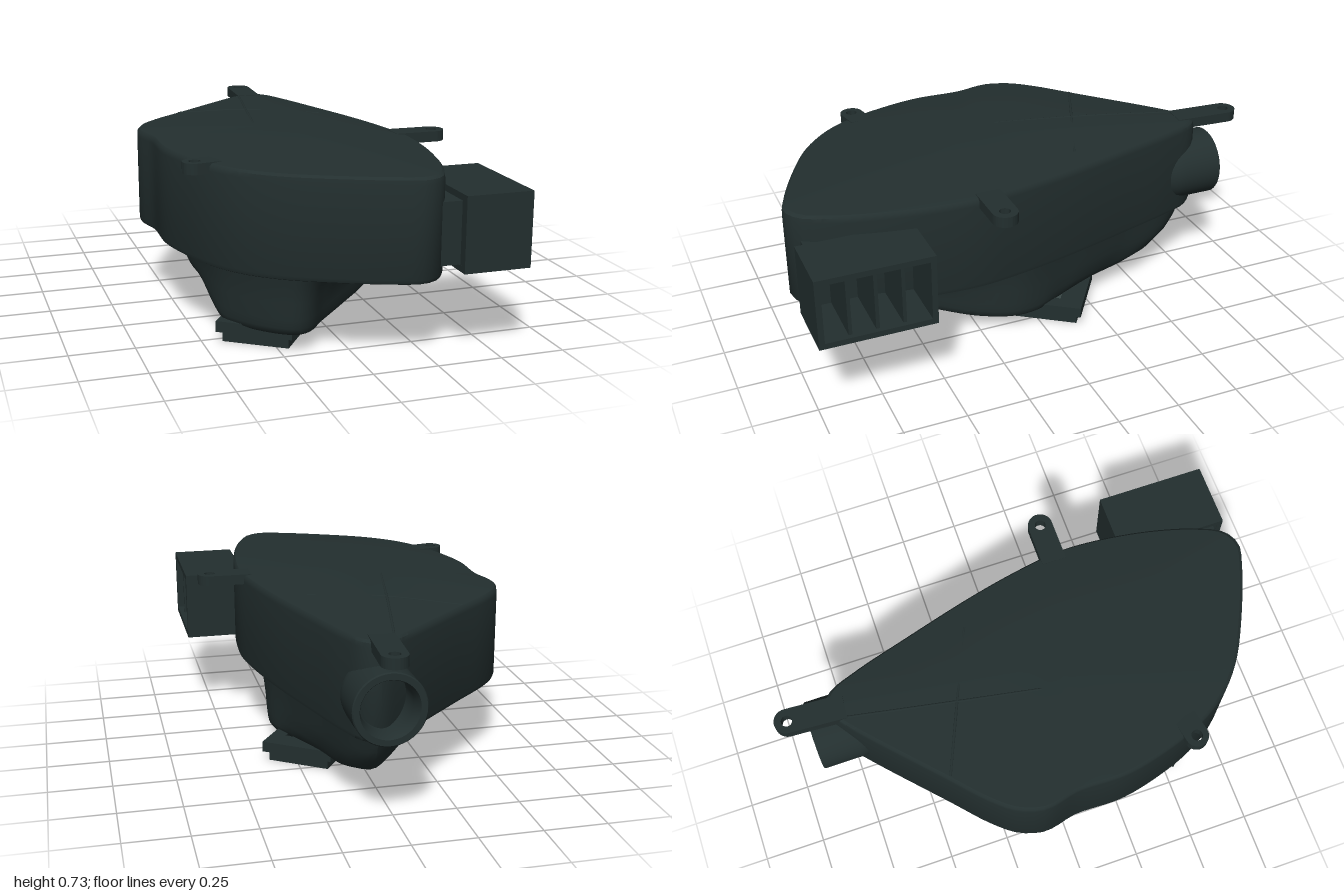
import * as THREE from 'three';
import { toCreasedNormals } from 'three/addons/utils/BufferGeometryUtils.js';

const plastic = new THREE.MeshStandardMaterial({ color: 0x232f2f, side: THREE.DoubleSide });
plastic.name = 'dark plastic';
const filterGrey = new THREE.MeshStandardMaterial({ color: 0x3a4847 });
filterGrey.name = 'filter grey';

// Smooth closed outline from a few [x, z] points
function outline(points, n = 120) {
  const curve = new THREE.CatmullRomCurve3(points.map(([x, z]) => new THREE.Vector3(x, 0, z)), true, 'centripetal');
  return curve.getSpacedPoints(n).slice(0, n).map(p => [p.x, p.z]);
}

// Skin through rings of [x, y, z] points, listed from bottom to top
function loft(rings) {
  const n = rings[0].length, pos = rings.flat(2), index = [];
  for (let r = 0; r < rings.length - 1; r++) {
    for (let i = 0; i < n; i++) {
      const a = r * n + i, b = r * n + (i + 1) % n;
      index.push(a, b, b + n, a, b + n, a + n);
    }
  }
  const geo = new THREE.BufferGeometry();
  geo.setAttribute('position', new THREE.Float32BufferAttribute(pos, 3));
  geo.setIndex(index);
  return toCreasedNormals(geo, 0.7);
}

// Plate drawn in x, z and spanning y0 to y1
function plate(shape, y0, y1) {
  return new THREE.ExtrudeGeometry(shape, { depth: y1 - y0, bevelEnabled: false, curveSegments: 20 })
    .rotateX(Math.PI / 2).translate(0, y1, 0);
}

function rect(w, h, Type = THREE.Shape) {
  return new Type([[-w, -h], [w, -h], [w, h], [-w, h]].map(([x, y]) => new THREE.Vector2(x / 2, y / 2)));
}

function frameShape(w, h, iw, ih) {
  const s = rect(w, h);
  s.holes.push(rect(iw, ih, THREE.Path));
  return s;
}

export function createModel() {
  const model = new THREE.Group();
  model.name = 'airIntakeBox';
  const add = (name, geo, parent = model, mat = plastic) => {
    const mesh = new THREE.Mesh(geo, mat);
    mesh.name = name;
    parent.add(mesh);
    return mesh;
  };

  // Main housing with rounded edges and a shallow domed lid
  const body = outline([[0.06, -0.8], [0.0, -0.765], [-0.36, -0.44], [-0.5, -0.31], [-0.57, -0.22], [-0.6, -0.12],
    [-0.592, -0.06], [-0.573, 0.02], [-0.573, 0.22], [-0.54, 0.38], [-0.48, 0.55], [-0.4, 0.68], [-0.28, 0.79],
    [-0.1, 0.89], [0.1, 0.975], [0.19, 0.998], [0.26, 0.965], [0.31, 0.87], [0.36, 0.7], [0.393, 0.5], [0.403, 0.3],
    [0.38, 0.13], [0.33, -0.1], [0.24, -0.42], [0.17, -0.65], [0.12, -0.765]]);
  const cx = -0.07, cz = 0.12;
  const bodyRing = (y, s) => body.map(([x, z]) => [cx + (x - cx) * s, y, cz + (z - cz) * s]);
  add('housing', loft([[0.306, 0], [0.306, 0.97], [0.312, 0.99], [0.328, 1], [0.67, 1], [0.688, 0.996], [0.697, 0.98]]
    .map(([y, s]) => bodyRing(y, s))));
  add('lid', loft([0.98, 0.95, 0.85, 0.7, 0.55, 0.4, 0.25, 0.1, 0]
    .map(s => bodyRing(0.697 + 0.028 * (1 - (s / 0.98) ** 2), s))));

  // Faint stiffening ribs, almost sunk into the lid
  [[[-0.36, 0.695, -0.42], [-0.08, 0.7145, -0.3], [0.2, 0.7045, -0.18]],
    [[0, 0.695, -0.74], [-0.08, 0.713, -0.35], [-0.15, 0.7195, 0.02]]].forEach(pts => {
    const curve = new THREE.CatmullRomCurve3(pts.map(p => new THREE.Vector3(...p)));
    add('lidRib', new THREE.TubeGeometry(curve, 16, 0.006, 8));
  });

  // Lower bowl: flared at the diagonal face, sloped up at the back and raised along the far side
  const bowl = outline([[0.06, -0.74], [-0.02, -0.68], [-0.2, -0.52], [-0.38, -0.32], [-0.46, -0.16], [-0.49, 0.05],
    [-0.5, 0.3], [-0.445, 0.52], [-0.33, 0.7], [-0.21, 0.79], [-0.15, 0.775], [-0.06, 0.67], [0.1, 0.49],
    [0.28, 0.27], [0.34, 0.1], [0.28, -0.15], [0.2, -0.42], [0.13, -0.68]]);
  const bowlRing = ([y, s, back, flare]) => bowl.map(([x, z]) => {
    const f = flare * Math.exp(-((x - 0.1) ** 2 + (z - 0.49) ** 2) / 0.04);
    const px = cx + (x - cx) * s + f, pz = (z < 0 ? z * back : z * s) + f * 0.75;
    const lift = THREE.MathUtils.smoothstep(-0.9 * px - 0.35 * pz, 0.18, 0.34);
    return [px * (1 - 0.04 * lift), y + 0.52 * (0.312 - y) * lift, pz];
  });
  add('lowerBowl', loft([[0.07, 0, 0, 0], [0.07, 0.35, 0.17, 0], [0.07, 0.6, 0.3, 0], [0.07, 0.8, 0.41, 0],
    [0.07, 0.92, 0.5, 0], [0.08, 0.94, 0.58, 0], [0.1, 0.95, 0.71, 0], [0.135, 0.96, 0.84, 0], [0.2, 0.97, 0.95, 0],
    [0.245, 0.98, 0.99, 0.025], [0.28, 0.99, 1.01, 0.07], [0.312, 1, 1.03, 0.13]].map(bowlRing)));

  // Long, narrow, angled filter frame underneath, with lattice
  const frame = new THREE.Group();
  frame.name = 'filterFrame';
  frame.position.set(-0.033, 0, 0.198);
  frame.rotation.y = THREE.MathUtils.degToRad(-35);
  model.add(frame);
  add('frameBase', plate(frameShape(0.26, 0.99, 0.18, 0.84), 0, 0.042), frame);
  add('frameFlange', plate(frameShape(0.3, 1.03, 0.18, 0.84), 0.042, 0.085), frame);
  add('filterPanel', new THREE.BoxGeometry(0.19, 0.008, 0.85).translate(0, 0.06, 0), frame, filterGrey);
  const bar = (x0, z0, x1, z1) => {
    const m = add('latticeBar', new THREE.BoxGeometry(0.02, 0.03, Math.hypot(x1 - x0, z1 - z0)), frame);
    m.position.set((x0 + x1) / 2, 0.03, (z0 + z1) / 2);
    m.rotation.y = Math.atan2(x1 - x0, z1 - z0);
  };
  for (let i = 0; i < 4; i++) {
    const side = i % 2 ? 0.09 : -0.09, z = -0.42 + i * 0.21;
    bar(side, z, -side, z + 0.21);
  }
  bar(-0.09, 0, 0.09, 0);

  // Round inlet pipe at the back, hollow and rounded into the housing
  const pipe = [[0.115, -0.64], [0.128, -0.66], [0.138, -0.69], [0.14, -0.72], [0.14, -0.875], [0.136, -0.88],
    [0.113, -0.88], [0.11, -0.875], [0.1, -0.82], [0.1, -0.71], [0, -0.71]].map(([r, z]) => new THREE.Vector2(r, -z));
  add('inletPipe', toCreasedNormals(new THREE.LatheGeometry(pipe, 48).rotateX(-Math.PI / 2), 0.6))
    .position.set(0.048, 0.47, 0);

  // Rectangular side duct, open to +x, with recessed divider vanes
  const duct = new THREE.Group();
  duct.name = 'sideDuct';
  duct.position.set(0, 0.477, 0.773);
  model.add(duct);
  add('ductNeck', new THREE.BoxGeometry(0.1, 0.235, 0.36).translate(0.3, 0, 0.005), duct);
  add('ductBack', new THREE.BoxGeometry(0.01, 0.28, 0.44).translate(0.346, 0, 0), duct);
  add('ductShell', new THREE.ExtrudeGeometry(frameShape(0.45, 0.286, 0.405, 0.24), { depth: 0.26, bevelEnabled: false })
    .rotateY(Math.PI / 2).translate(0.34, 0, 0), duct);
  for (let i = -1; i <= 1; i++) {
    add('ductVane', new THREE.BoxGeometry(0.23, 0.245, 0.014).translate(0.465, 0, i * 0.103), duct);
  }

  // Mounting tabs: rounded end with a bolt hole
  const tab = (name, x, z, angle, length, r) => {
    const s = new THREE.Shape();
    s.moveTo(-length, -r);
    s.lineTo(0, -r);
    s.absarc(0, 0, r, -Math.PI / 2, Math.PI / 2, false);
    s.lineTo(-length, r);
    s.closePath();
    s.holes.push(new THREE.Path().absarc(0, 0, 0.022, 0, Math.PI * 2, true));
    const m = add(name, toCreasedNormals(plate(s, 0.66, 0.702), 0.6));
    m.position.set(x, 0, z);
    m.rotation.y = angle;
  };
  tab('backTab', 0.056, -0.95, Math.PI / 2 - 0.06, 0.23, 0.05);
  tab('leftTab', 0.53, 0.256, 0, 0.17, 0.05);
  tab('rightTab', -0.518, 0.525, Math.PI + 0.2, 0.09, 0.046);

  return model;
}
